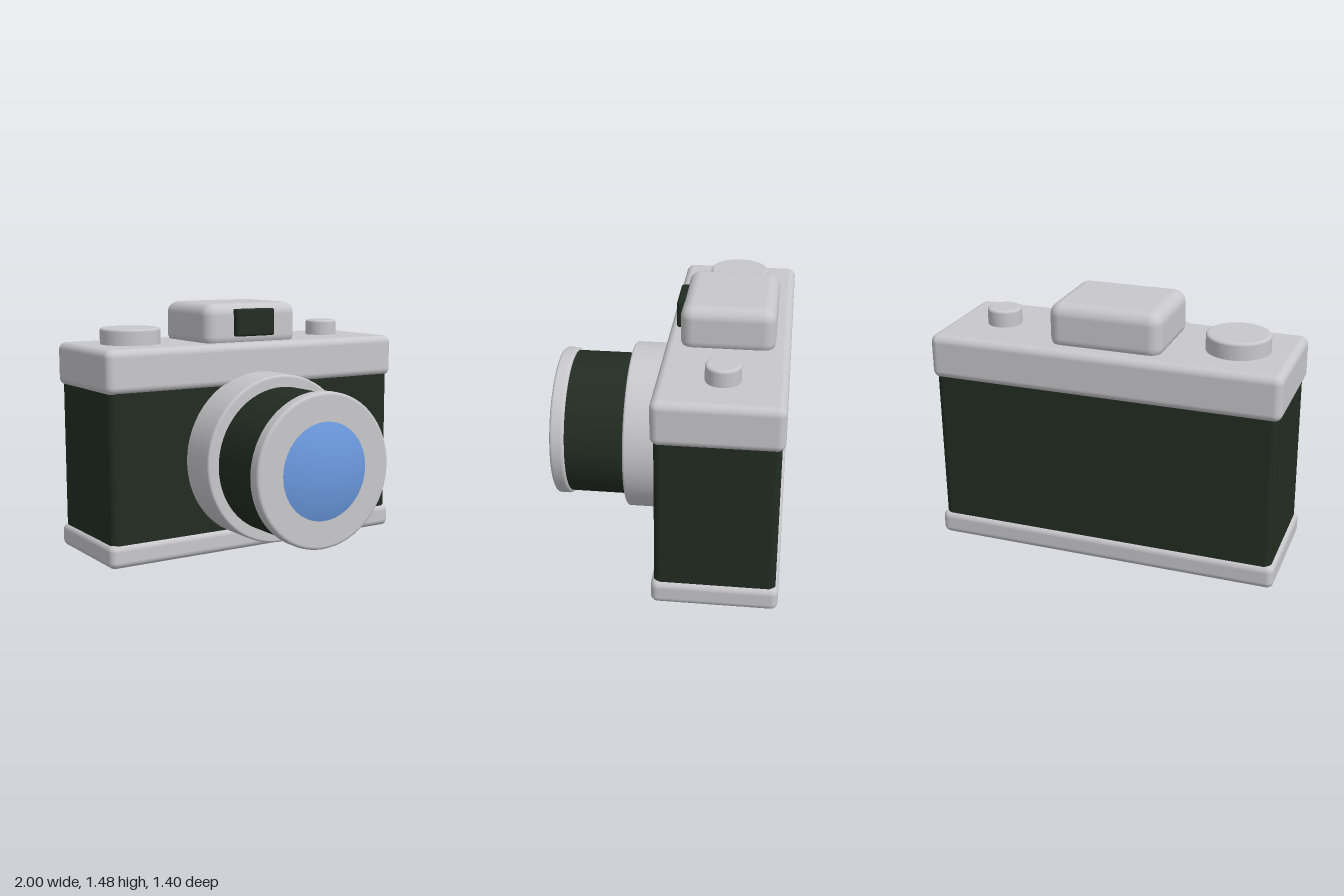
import * as THREE from 'three';
import { RoundedBoxGeometry } from 'three/addons/geometries/RoundedBoxGeometry.js';

const mat = (name, color) => {
  const m = new THREE.MeshStandardMaterial({ color });
  m.name = name;
  return m;
};

export function createModel() {
  const silver = mat('silver', 0xc8c8cc);
  const leather = mat('dark green leather', 0x222c22);
  const glass = mat('blue glass', 0x6c9ae0);
  const group = new THREE.Group();
  group.name = 'camera';

  const add = (name, geometry, material, x, y, z) => {
    const mesh = new THREE.Mesh(geometry, material);
    mesh.name = name;
    mesh.position.set(x, y, z);
    group.add(mesh);
    return mesh;
  };

  // Rounded box given by its half width, y range and z range
  const box = (name, material, halfW, y0, y1, z0, z1, r) =>
    add(name, new RoundedBoxGeometry(halfW * 2, y1 - y0, z1 - z0, 5, r), material, 0, (y0 + y1) / 2, (z0 + z1) / 2);

  // Solid disc along y with rounded rims
  const disc = (r, h, b) => {
    const pts = [new THREE.Vector2(0, 0)];
    const corner = (cy, from) => {
      for (let i = 0; i <= 5; i++) {
        const a = from + (i / 5) * Math.PI / 2;
        pts.push(new THREE.Vector2(r - b + b * Math.cos(a), cy + b * Math.sin(a)));
      }
    };
    // doubled points keep the flat ends crisp
    pts.push(new THREE.Vector2(r - b - 0.001, 0));
    corner(b, -Math.PI / 2);
    corner(h - b, 0);
    pts.push(new THREE.Vector2(r - b - 0.001, h), new THREE.Vector2(0, h));
    return new THREE.LatheGeometry(pts, 64);
  };

  // Body, base and top plate
  box('body', leather, 0.98, 0.05, 1.1, -0.683, -0.017, 0.04);
  box('basePlate', silver, 1, 0, 0.14, -0.7, 0, 0.04);
  box('topPlate', silver, 1, 0.99, 1.245, -0.7, 0, 0.045);

  // Viewfinder housing and window
  box('viewfinder', silver, 0.32, 1.21, 1.475, -0.615, -0.085, 0.07);
  box('viewfinderWindow', leather, 0.135, 1.28, 1.442, -0.12, -0.05, 0.015);

  // Dials
  add('largeDial', disc(0.177, 0.14, 0.016), silver, -0.682, 1.2, -0.355);
  add('smallDial', disc(0.097, 0.14, 0.016), silver, 0.692, 1.2, -0.355);

  // Lens parts, stacked along +z
  const lens = (name, geometry, material, z) => {
    add(name, geometry, material, 0, 0.575, z).rotation.x = Math.PI / 2;
  };
  lens('lensMount', disc(0.498, 0.275, 0.014), silver, -0.05);
  lens('lensBarrel', new THREE.CylinderGeometry(0.428, 0.428, 0.4, 64), leather, 0.4);
  lens('lensRing', disc(0.445, 0.085, 0.018), silver, 0.572);

  // Shallow glass dome
  const dome = [];
  const R = 0.894, edge = Math.asin(0.28 / R);
  for (let i = 0; i <= 10; i++) {
    const a = edge * (1 - i / 10);
    dome.push(new THREE.Vector2(R * Math.sin(a), R * (Math.cos(a) - Math.cos(edge))));
  }
  lens('lensGlass', new THREE.LatheGeometry(dome, 64), glass, 0.657);

  return group;
}
